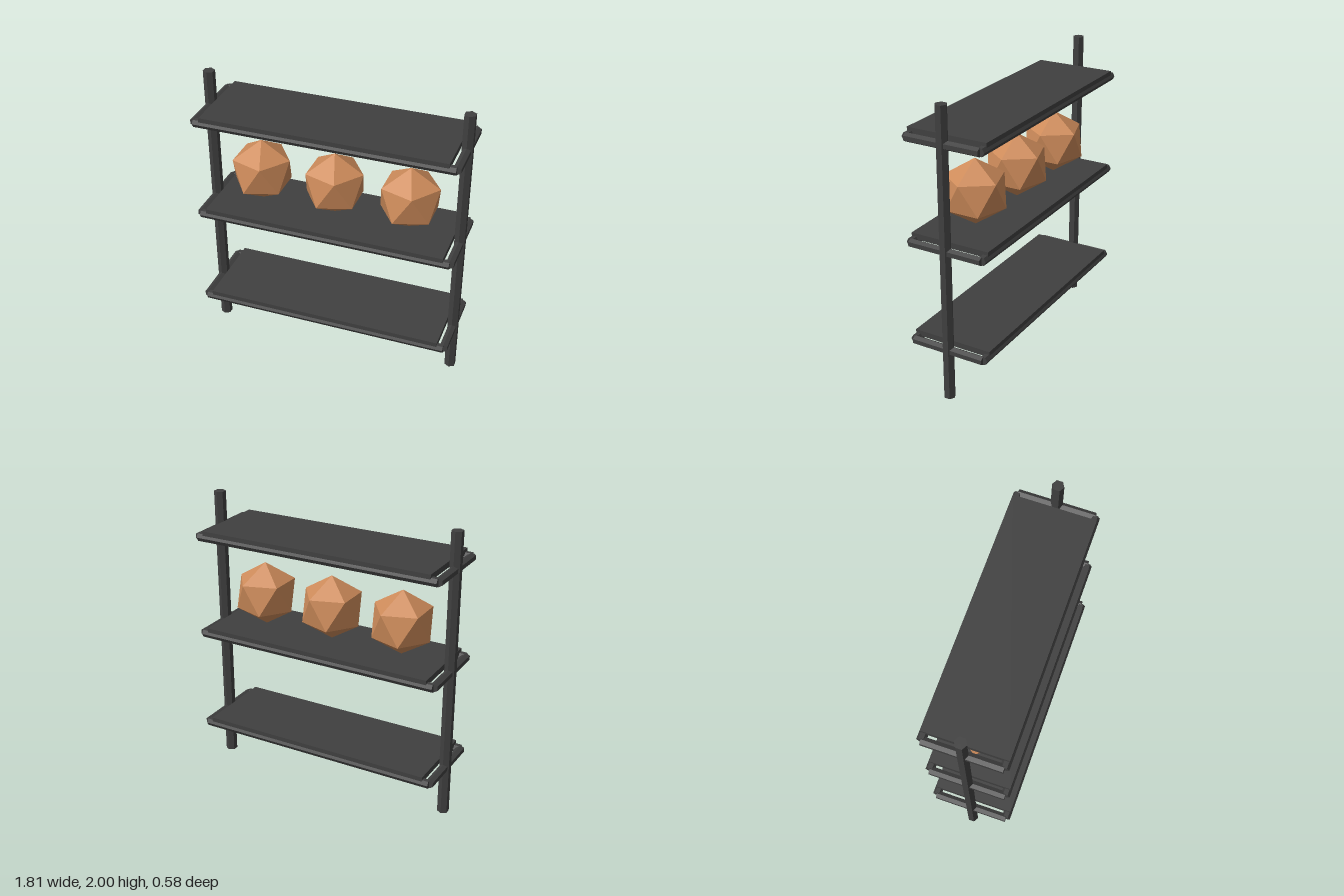
import * as THREE from 'three';
import { ConvexGeometry } from 'three/addons/geometries/ConvexGeometry.js';

const darkMetal = new THREE.MeshStandardMaterial({ color: 0x404040, flatShading: true });
darkMetal.name = 'dark metal';
const copper = new THREE.MeshStandardMaterial({ color: 0xcd8b5a, flatShading: true });
copper.name = 'copper';

function part(name, geometry, material, x, y, z) {
  const mesh = new THREE.Mesh(geometry, material);
  mesh.name = name;
  mesh.position.set(x, y, z);
  return mesh;
}

// Six-sided bar standing along y
const bar = (radius, length) => new THREE.CylinderGeometry(radius, radius, length, 6);

// Icosahedron with a corner straight up and one straight down
function gemGeometry(r) {
  const points = [new THREE.Vector3(0, r, 0), new THREE.Vector3(0, -r, 0)];
  const ring = (2 * r) / Math.sqrt(5);
  for (let i = 0; i < 10; i++) {
    const a = (i * Math.PI) / 5;
    const y = (i % 2 ? -0.5 : 0.5) * ring;
    points.push(new THREE.Vector3(ring * Math.cos(a), y, ring * Math.sin(a)));
  }
  return new ConvexGeometry(points);
}

export function createModel() {
  const model = new THREE.Group();
  model.name = 'shelvingUnit';

  // Upright posts
  const postGeometry = bar(0.04, 2);
  for (const [side, x] of [['left', 0.87], ['right', -0.87]]) {
    model.add(part(side + 'Post', postGeometry, darkMetal, x, 1, 0));
  }

  // Three shelves, each a board resting on a frame of bars
  const boardGeometry = new THREE.BoxGeometry(1.655, 0.04, 0.56);
  const longRail = bar(0.03, 1.74).rotateZ(Math.PI / 2);
  const sideRail = bar(0.03, 0.52).rotateX(Math.PI / 2);
  [['lower', 0.35], ['middle', 1.05], ['upper', 1.75]].forEach(([level, y]) => {
    const shelf = new THREE.Group();
    shelf.name = level + 'Shelf';
    shelf.position.y = y;
    shelf.add(part('board', boardGeometry, darkMetal, 0, 0.028, 0));
    shelf.add(part('frontRail', longRail, darkMetal, 0, 0, 0.26));
    shelf.add(part('backRail', longRail, darkMetal, 0, 0, -0.26));
    shelf.add(part('leftRail', sideRail, darkMetal, 0.87, 0, 0));
    shelf.add(part('rightRail', sideRail, darkMetal, -0.87, 0, 0));
    model.add(shelf);
  });

  // Faceted ornaments on the middle shelf
  const gem = gemGeometry(0.224);
  ['right', 'centre', 'left'].forEach((place, i) => {
    model.add(part(place + 'Ornament', gem, copper, (i - 1) * 0.52, 1.325, 0));
  });

  return model;
}
